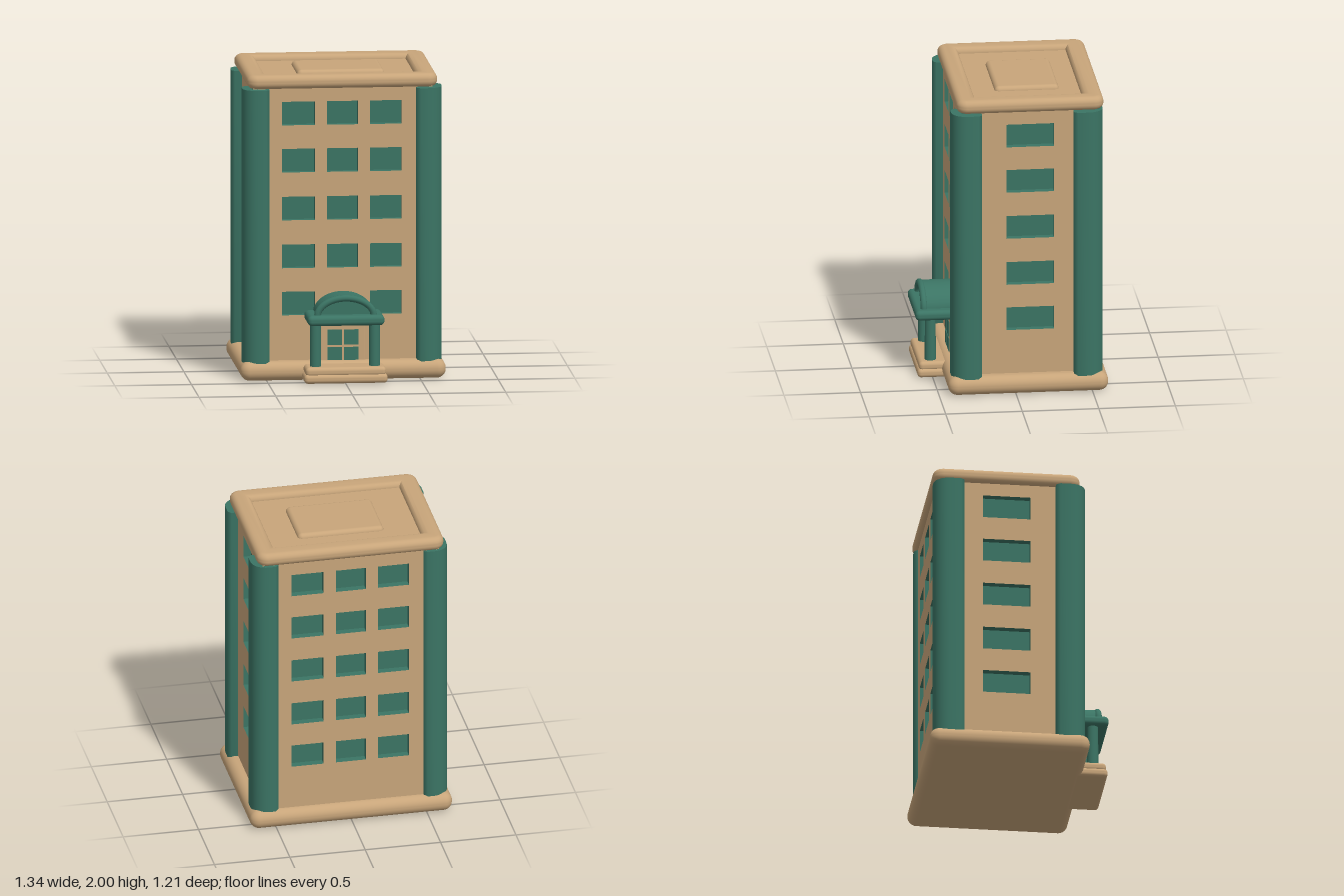
import * as THREE from 'three';
import { toCreasedNormals } from 'three/addons/utils/BufferGeometryUtils.js';
import { RoundedBoxGeometry } from 'three/addons/geometries/RoundedBoxGeometry.js';

const stone = new THREE.MeshStandardMaterial({ color: 0xc8a57a });
stone.name = 'tan stone';
const green = new THREE.MeshStandardMaterial({ color: 0x3b7464 });
green.name = 'dark green';

const ZC = -0.1; // centre of the tower in z

function add(parent, name, geometry, material, x = 0, y = 0, z = 0) {
  const mesh = new THREE.Mesh(geometry, material);
  mesh.name = name;
  mesh.position.set(x, y, z);
  parent.add(mesh);
  return mesh;
}

// Soft-edged block given by its limits on each axis
function block(parent, name, material, [x0, x1], [y0, y1], [z0, z1], radius) {
  const geo = new RoundedBoxGeometry(x1 - x0, y1 - y0, z1 - z0, 5, radius);
  return add(parent, name, geo, material, (x0 + x1) / 2, (y0 + y1) / 2, (z0 + z1) / 2);
}

function rectPath(target, x0, x1, y0, y1) {
  target.moveTo(x0, y0);
  target.lineTo(x1, y0);
  target.lineTo(x1, y1);
  target.lineTo(x0, y1);
  target.closePath();
  return target;
}

function roundedRect(hw, hh, r) {
  const s = new THREE.Shape();
  s.absarc(hw - r, hh - r, r, 0, Math.PI / 2);
  s.absarc(-hw + r, hh - r, r, Math.PI / 2, Math.PI);
  s.absarc(-hw + r, -hh + r, r, Math.PI, Math.PI * 1.5);
  s.absarc(hw - r, -hh + r, r, Math.PI * 1.5, Math.PI * 2);
  s.closePath();
  return s;
}

const ROWS = [0.42, 0.73, 1.045, 1.36, 1.67];
const WALL = 0.05;

// Wall plate with window openings; the reveals are green
function wall(parent, name, halfWidth, columns, skip = () => false) {
  const shape = rectPath(new THREE.Shape(), -halfWidth, halfWidth, 0.08, 1.95);
  ROWS.forEach((y, row) => columns.forEach(([x0, x1], col) => {
    if (!skip(row, col)) shape.holes.push(rectPath(new THREE.Path(), x0, x1, y, y + 0.155));
  }));
  const geo = new THREE.ExtrudeGeometry(shape, { depth: WALL, bevelEnabled: false });
  return add(parent, name, geo, [stone, green]);
}

function addTower(group) {
  const hx = 0.585, hz = 0.45;
  // Green core seen through the openings
  add(group, 'windowGlass', new THREE.BoxGeometry(2 * (hx - WALL), 1.84, 2 * (hz - WALL)), green, 0, 1.01, ZC);

  const three = [[-0.395, -0.18], [-0.1, 0.1], [0.18, 0.385]];
  const one = [[-0.155, 0.155]];
  const front = wall(group, 'frontWall', hx, three, (row, col) => row === 0 && col === 1);
  front.position.z = ZC + hz - WALL;
  const back = wall(group, 'backWall', hx, three);
  back.rotation.y = Math.PI;
  back.position.z = ZC - hz + WALL;
  for (const side of [-1, 1]) {
    const w = wall(group, side > 0 ? 'leftWall' : 'rightWall', hz, one);
    w.rotation.y = side * Math.PI / 2;
    w.position.set(side * (hx - WALL), 0, ZC);
  }

  // Corner pillars with a broad round outer corner
  for (const sx of [-1, 1]) for (const sz of [-1, 1]) {
    const xo = 0.65, xi = 0.48, zo = sz > 0 ? 0.415 : 0.575, zi = sz > 0 ? 0.22 : 0.38, r = 0.1;
    const pts = [[xi, zi], [xo - 0.02, zi], [xo, zi + 0.025]];
    for (let i = 0; i <= 8; i++) {
      const a = i / 8 * Math.PI / 2;
      pts.push([xo - r + r * Math.cos(a), zo - r + r * Math.sin(a)]);
    }
    pts.push([xi + 0.025, zo], [xi, zo - 0.02]);
    const shape = new THREE.Shape(pts.map(([x, z]) => new THREE.Vector2(sx * x, -sz * z)));
    const geo = new THREE.ExtrudeGeometry(shape, { depth: 1.81, bevelEnabled: false });
    geo.rotateX(-Math.PI / 2);
    add(group, 'cornerPillar', toCreasedNormals(geo, 0.9), green, 0, 0.1, 0);
  }
}

function addRoof(group) {
  // Rounded parapet ring around a sunken roof
  const ring = roundedRect(0.58, 0.44, 0.03);
  ring.holes.push(rectPath(new THREE.Path(), -0.53, 0.53, -0.39, 0.39));
  const geo = new THREE.ExtrudeGeometry(ring, {
    depth: 0.01, bevelThickness: 0.04, bevelSize: 0.04, bevelSegments: 5, curveSegments: 5,
  });
  geo.rotateX(-Math.PI / 2);
  add(group, 'parapet', toCreasedNormals(geo, 0.7), stone, 0, 1.95, ZC);
  add(group, 'roofDeck', new THREE.BoxGeometry(1.06, 0.05, 0.78), stone, 0, 1.935, ZC);
  block(group, 'roofHatch', stone, [-0.27, 0.3], [1.91, 1.988], [-0.32, 0.1], 0.03);
}

function addEntrance(group) {
  // Two steps
  block(group, 'lowerStep', stone, [-0.272, 0.272], [0.005, 0.065], [0.2, 0.6], 0.025);
  block(group, 'upperStep', stone, [-0.262, 0.262], [0.05, 0.11], [0.2, 0.59], 0.025);

  // Door with four panes
  block(group, 'doorFrame', stone, [-0.15, 0.15], [0.08, 0.39], [0.3, 0.375], 0.012);
  for (const x of [-0.054, 0.054]) for (const y of [0.16, 0.275]) {
    add(group, 'doorPane', new THREE.BoxGeometry(0.092, 0.1, 0.008), green, x, y, 0.376);
  }

  // Porch posts and canopy slab
  for (const x of [-0.192, 0.192]) {
    add(group, 'porchPost', new THREE.CylinderGeometry(0.035, 0.037, 0.31, 20), green, x, 0.255, 0.51);
  }
  block(group, 'canopySlab', green, [-0.25, 0.25], [0.385, 0.452], [0.33, 0.61], 0.028);

  // Arched vault, with a raised rim around the front
  const arch = (w, h) => {
    const s = new THREE.Shape();
    s.absellipse(0, 0, w, h, 0, Math.PI, false);
    s.closePath();
    return s;
  };
  const vault = new THREE.ExtrudeGeometry(arch(0.19, 0.135), { depth: 0.21, bevelEnabled: false, curveSegments: 24 });
  add(group, 'canopyVault', toCreasedNormals(vault, 0.6), green, 0, 0.44, 0.33);
  const curve = new THREE.CatmullRomCurve3(Array.from({ length: 13 }, (_, i) => {
    const a = i / 12 * Math.PI;
    return new THREE.Vector3(0.185 * Math.cos(a), 0.12 * Math.sin(a), 0);
  }));
  add(group, 'canopyRim', new THREE.TubeGeometry(curve, 32, 0.022, 10), green, 0, 0.44, 0.55);
}

export function createModel() {
  const group = new THREE.Group();
  group.name = 'towerBlock';
  block(group, 'basePlinth', stone, [-0.67, 0.67], [0, 0.125], [-0.605, 0.44], 0.06);
  addTower(group);
  addRoof(group);
  addEntrance(group);
  return group;
}
